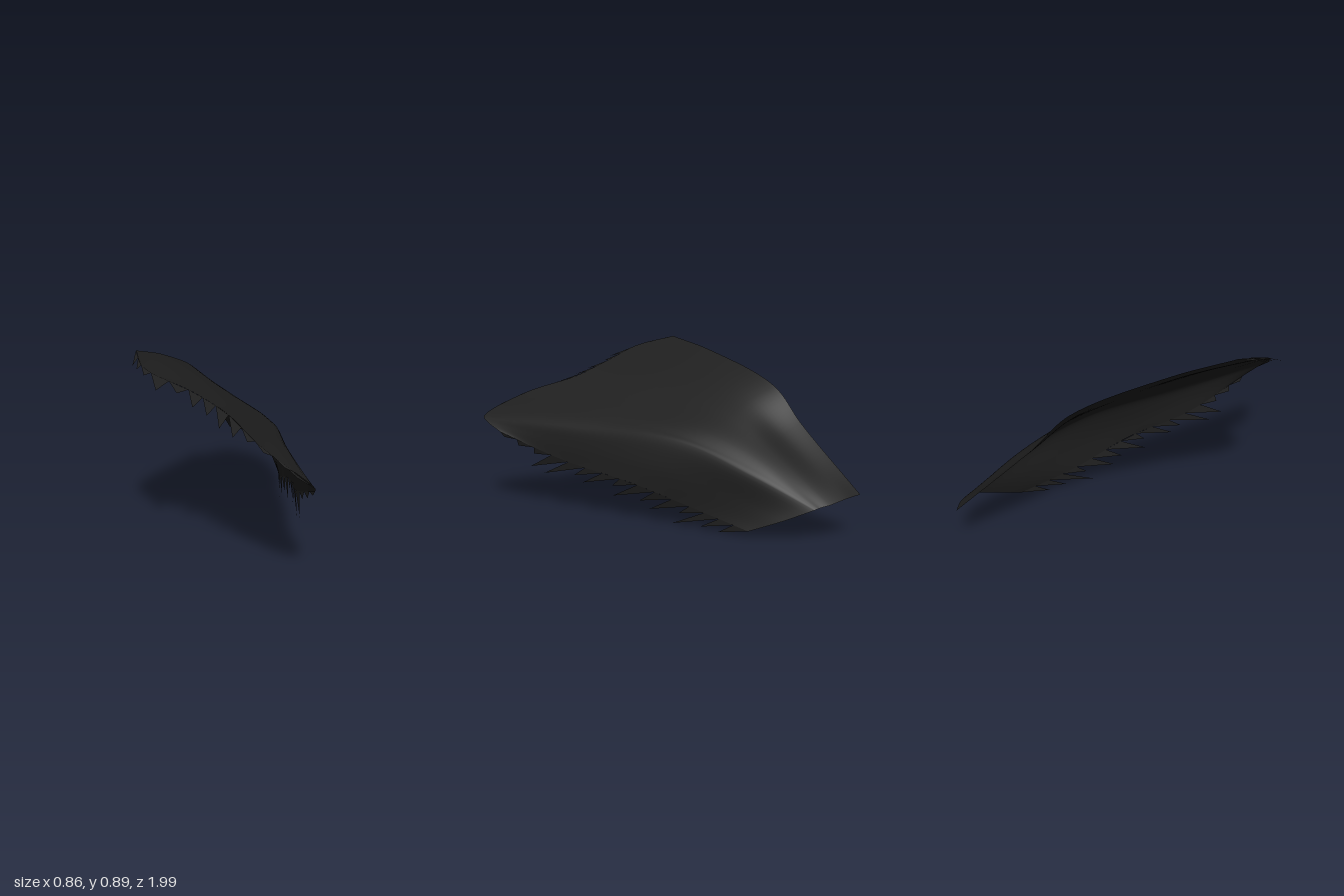
import * as THREE from 'three';

// Lengthwise strands of the sheet, each from the back edge to the front hem
const STRANDS = [
  [-0.12, 0.21, -1, -0.205, 0.5, -0.64, -0.25, 0.67, -0.46, -0.355, 0.83, 0, -0.43, 0.9, 0.32],
  [-0.04, 0.2, -0.97, -0.1, 0.45, -0.6, -0.13, 0.605, -0.38, -0.24, 0.765, 0.1, -0.345, 0.845, 0.52],
  [0.04, 0.18, -0.93, 0.02, 0.4, -0.6, 0, 0.53, -0.35, -0.06, 0.665, 0.13, -0.13, 0.76, 0.57],
  [0.075, 0.17, -0.9, 0.1, 0.355, -0.6, 0.12, 0.47, -0.3, 0.09, 0.575, 0.17, 0.03, 0.685, 0.65],
  [0.09, 0.165, -0.89, 0.14, 0.32, -0.6, 0.18, 0.435, -0.25, 0.2, 0.515, 0.25, 0.2, 0.595, 0.87],
  [0.1, 0.16, -0.88, 0.17, 0.295, -0.58, 0.21, 0.415, -0.22, 0.29, 0.445, 0.33, 0.41, 0.475, 0.985],
  [0.16, 0.1, -0.75, 0.2, 0.2, -0.46, 0.26, 0.31, -0.1, 0.325, 0.36, 0.4, 0.425, 0.445, 0.94],
  [0.21, 0.04, -0.6, 0.23, 0.11, -0.3, 0.295, 0.205, 0.05, 0.34, 0.275, 0.45, 0.425, 0.4, 0.84],
];

const toCurve = (points) => new THREE.CatmullRomCurve3(points, false, 'centripetal');

// Pointed tufts along an edge; each takes its length from the list
function makeTufts(edge, from, to, direction, lengths, material) {
  const positions = [];
  const count = lengths.length;
  lengths.forEach((length, i) => {
    const a = edge.getPoint(from + (to - from) * i / count);
    const b = edge.getPoint(from + (to - from) * (i + 1) / count);
    const tip = a.clone().lerp(b, 0.5).addScaledVector(direction, length);
    tip.y = Math.max(tip.y, 0);
    for (const p of [a, tip, b]) positions.push(p.x, p.y, p.z);
  });
  const geometry = new THREE.BufferGeometry();
  geometry.setAttribute('position', new THREE.Float32BufferAttribute(positions, 3));
  geometry.computeVertexNormals();
  return new THREE.Mesh(geometry, material);
}

export function createModel() {
  const group = new THREE.Group();
  const charcoal = new THREE.MeshStandardMaterial({ color: 0x1e1e1e, side: THREE.DoubleSide });
  charcoal.name = 'charcoal';

  const strands = STRANDS.map((s) => toCurve(
    Array.from({ length: 5 }, (_, i) => new THREE.Vector3().fromArray(s, i * 3))));

  // Curved sheet lofted across the strands
  const across = 42, along = 40;
  const positions = [], indices = [];
  for (let j = 0; j <= along; j++) {
    const section = toCurve(strands.map((s) => s.getPoint(j / along)));
    for (let i = 0; i <= across; i++) {
      const p = section.getPoint(i / across);
      positions.push(p.x, p.y, p.z);
      if (i < across && j < along) {
        const a = j * (across + 1) + i, b = a + across + 1;
        indices.push(a, b, a + 1, a + 1, b, b + 1);
      }
    }
  }
  const geometry = new THREE.BufferGeometry();
  geometry.setAttribute('position', new THREE.Float32BufferAttribute(positions, 3));
  geometry.setIndex(indices);
  geometry.computeVertexNormals();
  const sheet = new THREE.Mesh(geometry, charcoal);
  sheet.name = 'curvedSheet';
  group.add(sheet);

  // Ragged front hem
  const hem = toCurve(strands.map((s) => s.getPoint(1)));
  const hemTufts = makeTufts(hem, 0, 0.66, new THREE.Vector3(0.02, -0.3, 1),
    [0.12, 0.08, 0.06, 0.12, 0.07, 0.12, 0.12, 0.15, 0.13, 0.06, 0.03, 0.02], charcoal);
  hemTufts.name = 'hemTufts';
  group.add(hemTufts);

  // Ragged lower side edge, swept toward the front
  const sideTufts = makeTufts(strands[7], 0, 1, new THREE.Vector3(0.08, -0.3, 1),
    [0.12, 0.14, 0.22, 0.1, 0.18, 0.14, 0.2, 0.1, 0.18, 0.13, 0.22, 0.2, 0.06, 0.05, 0.03], charcoal);
  sideTufts.name = 'sideTufts';
  group.add(sideTufts);

  // Blunt corner tip at the front
  const cornerTip = makeTufts(hem, 0.62, 0.86, new THREE.Vector3(0, 0, 1), [0.04], charcoal);
  cornerTip.name = 'cornerTip';
  group.add(cornerTip);

  return group;
}
